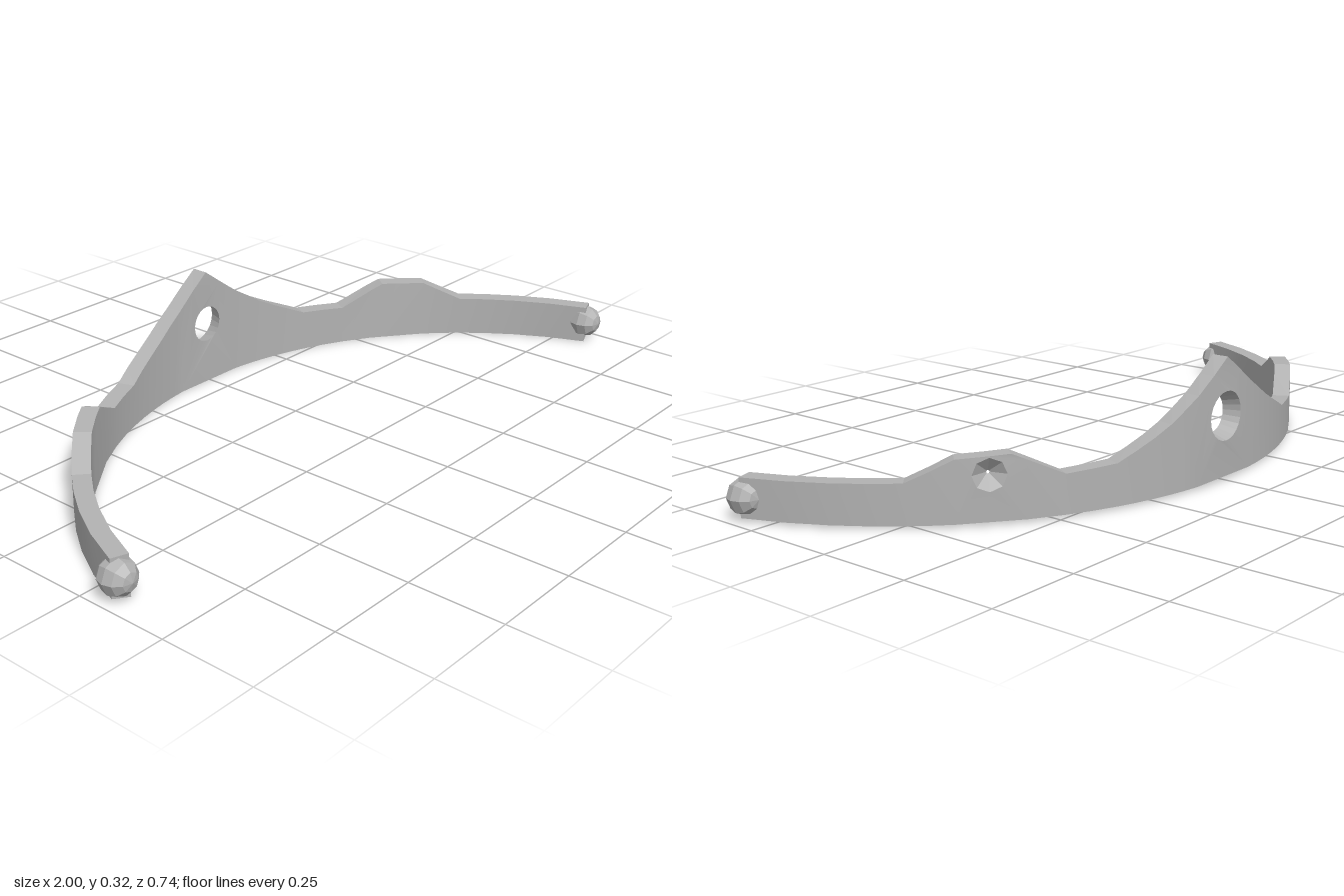
import * as THREE from 'three';
import { mergeGeometries, mergeVertices } from 'three/addons/utils/BufferGeometryUtils.js';

// The band follows a circular arc; s is the length along it, measured at radius R.
const R = 1.008, R_IN = 0.985, R_OUT = 1.03, ARC_Z = 0.66;
const OUTER_BOTTOM = 0.008;
const toS = x => R * Math.asin(x / R);
const bend = (s, y, r) => new THREE.Vector3(r * Math.sin(s / R), y, ARC_Z - r * Math.cos(s / R));

// Upper outline of one half: [x, height]
const OUTLINE = [[0, 0.32], [0.11, 0.24], [0.2, 0.185], [0.25, 0.16], [0.35, 0.115], [0.47, 0.108],
  [0.58, 0.169], [0.68, 0.163], [0.76, 0.11], [0.952, 0.107]];
function topAt(x) {
  x = Math.min(Math.abs(x), 0.952);
  const i = Math.max(1, OUTLINE.findIndex(p => x <= p[0]));
  const [x0, y0] = OUTLINE[i - 1], [x1, y1] = OUTLINE[i];
  return y0 + (y1 - y0) * (x - x0) / (x1 - x0);
}

// Panels of one half, each a list of x stops; the dish panel holds the round recess
const DISH = [0.55, 0.58, 0.62, 0.68];
const SIDE = [[0.11, 0.155], [0.155, 0.2], [0.2, 0.25], [0.25, 0.3], [0.3, 0.35], [0.35, 0.41], [0.41, 0.47],
  [0.47, 0.55], DISH, [0.68, 0.72], [0.72, 0.76], [0.76, 0.81], [0.81, 0.86], [0.86, 0.91], [0.91, 0.952]];
const CENTRE = [-0.11, -0.055, 0, 0.055, 0.11];
const PANELS = [...SIDE.map(p => p.map(x => -x).reverse()).reverse(), CENTRE, ...SIDE];

const circle = (s, y, r, n) => Array.from({ length: n }, (_, i) => {
  const a = i / n * Math.PI * 2;
  return new THREE.Vector2(s + r * Math.cos(a), y + r * Math.sin(a));
});

// One bent panel of the inner or outer face
function facePanel(xs, bottom, radius, hole) {
  const pts = [new THREE.Vector2(toS(xs[0]), bottom), new THREE.Vector2(toS(xs.at(-1)), bottom)];
  [...xs].reverse().forEach(x => pts.push(new THREE.Vector2(toS(x), topAt(x))));
  const shape = new THREE.Shape(pts);
  if (hole) shape.holes.push(new THREE.Path(hole));
  const g = new THREE.ShapeGeometry(shape);
  const p = g.attributes.position;
  for (let i = 0; i < p.count; i++) {
    const v = bend(p.getX(i), p.getY(i), radius);
    p.setXYZ(i, v.x, v.y, v.z);
  }
  if (radius === R_OUT) g.index.array.reverse();
  return g;
}

// Joins panels into one smoothly shaded surface
function smooth(list) {
  const g = mergeGeometries(list);
  g.deleteAttribute('uv');
  g.deleteAttribute('normal');
  const m = mergeVertices(g, 1e-4);
  m.computeVertexNormals();
  return m;
}

// Flat-shaded ribbon of quads between two rows of points
function ribbon(a, b, closed = false) {
  const pts = [], n = a.length;
  for (let i = 0; i < (closed ? n : n - 1); i++) {
    const j = (i + 1) % n;
    pts.push(a[i], a[j], b[j], a[i], b[j], b[i]);
  }
  const g = new THREE.BufferGeometry().setFromPoints(pts);
  g.computeVertexNormals();
  return g;
}

export function createModel() {
  const model = new THREE.Group();
  const grey = new THREE.MeshStandardMaterial({ color: 0xb2b2b2 });
  const add = (name, geometry) => {
    const mesh = new THREE.Mesh(geometry, grey);
    mesh.name = name;
    model.add(mesh);
    return mesh;
  };
  const onArc = (pts, r) => pts.map(p => bend(p.x, p.y, r));

  // Central through hole, wider at the back, and the side recesses
  const holeIn = circle(0, 0.168, 0.05, 24), holeOut = circle(0, 0.168, 0.064, 24);
  const dishS = toS(0.62), dishY = 0.122;
  const dishRim = side => circle(side * dishS, dishY, 0.041, 8);

  // Inner and outer faces
  add('innerFace', smooth(PANELS.map(xs => facePanel(xs, 0, R_IN, xs === CENTRE && holeIn))));
  add('outerFace', smooth(PANELS.map(xs => {
    const isDish = xs.length === DISH.length;
    const hole = xs === CENTRE ? holeOut : isDish && dishRim(Math.sign(xs[0]));
    return facePanel(xs, OUTER_BOTTOM, R_OUT, hole);
  })));

  // Narrow edges and end caps
  const stops = PANELS.flatMap((xs, i) => i ? xs.slice(1) : xs);
  const row = (height, r) => stops.map(x => bend(toS(x), height(x), r));
  const topIn = row(topAt, R_IN), topOut = row(topAt, R_OUT);
  const lowIn = row(() => 0, R_IN), lowOut = row(() => OUTER_BOTTOM, R_OUT);
  add('topEdge', ribbon(topIn, topOut));
  add('bottomEdge', ribbon(lowOut, lowIn));
  add('leftEndCap', ribbon([lowOut.at(-1), topOut.at(-1)], [lowIn.at(-1), topIn.at(-1)]));
  add('rightEndCap', ribbon([lowIn[0], topIn[0]], [lowOut[0], topOut[0]]));

  // Wall of the central hole
  add('holeWall', ribbon(onArc(holeIn, R_IN), onArc(holeOut, R_OUT), true));

  for (const side of [1, -1]) {
    const label = side > 0 ? 'left' : 'right';

    // Faceted round recess on the outer face
    const middle = circle(side * dishS, dishY, 0.004, 8);
    add(label + 'Recess', ribbon(onArc(middle, R_OUT - 0.028), onArc(dishRim(side), R_OUT), true));

    // Faceted ball on the tip
    const ballGeometry = new THREE.SphereGeometry(0.047, 8, 6).toNonIndexed();
    ballGeometry.computeVertexNormals();
    const ball = add(label + 'TipBall', ballGeometry);
    ball.rotation.x = Math.PI / 2;
    ball.position.set(side * 0.953, 0.057, 0.322);
  }
  return model;
}
